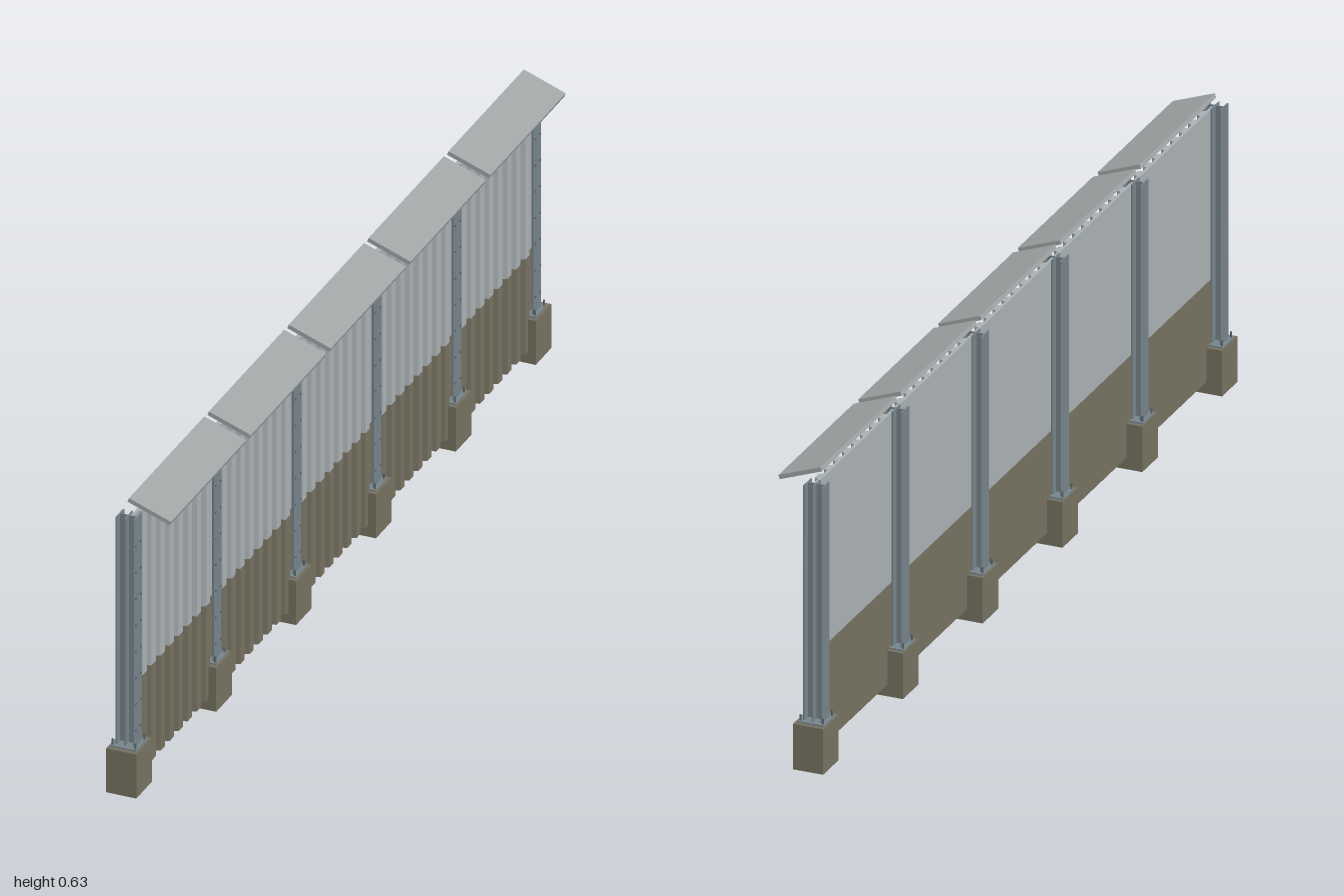
import * as THREE from 'three';

const paint = (name, color) => {
  const m = new THREE.MeshStandardMaterial({ color });
  m.name = name;
  return m;
};

export function createModel() {
  const concrete = paint('concrete', 0x757060);
  const steel = paint('post steel', 0x76838a);
  const sheet = paint('panel sheet', 0xa9b0b3);
  const roofGrey = paint('canopy grey', 0xa0a4a5);
  const boltGrey = paint('bolt steel', 0x59646b);

  const wall = new THREE.Group();
  wall.name = 'noiseBarrier';

  const add = (parent, name, geometry, material, x, y, z) => {
    const mesh = new THREE.Mesh(geometry, material);
    mesh.name = name;
    mesh.position.set(x, y, z);
    parent.add(mesh);
    return mesh;
  };

  const PITCH = 0.385;      // distance between posts
  const POSTS = 6;
  const TOP = 0.6;
  const PLATE = 0.1;        // top of the base plate

  // Shared post geometries
  const footing = new THREE.BoxGeometry(0.064, 0.097, 0.075);
  const plate = new THREE.BoxGeometry(0.056, 0.003, 0.056);
  const flange = new THREE.BoxGeometry(0.003, TOP - PLATE, 0.037);
  const web = new THREE.BoxGeometry(0.038, TOP - PLATE, 0.003);
  const anchor = new THREE.CylinderGeometry(0.0022, 0.0022, 0.012, 8);
  const rivet = new THREE.CylinderGeometry(0.0022, 0.0022, 0.002, 8).rotateZ(Math.PI / 2);

  for (let i = 0; i < POSTS; i++) {
    const post = new THREE.Group();
    post.name = 'post';
    post.position.z = (i - (POSTS - 1) / 2) * PITCH;
    wall.add(post);

    add(post, 'footing', footing, concrete, -0.026, 0.0485, 0);
    add(post, 'basePlate', plate, steel, -0.027, 0.0985, 0);

    // Double beam: three flanges on one web
    const mid = (TOP + PLATE) / 2;
    for (const x of [-0.0455, -0.027, -0.0085]) add(post, 'flange', flange, steel, x, mid, 0);
    add(post, 'web', web, steel, -0.027, mid, 0);

    // Anchor bolts at the corners of the base plate
    for (const x of [-0.051, -0.003])
      for (const z of [-0.022, 0.022]) add(post, 'anchorBolt', anchor, boltGrey, x, 0.106, z);

    // Two columns of rivets on the outer flange
    for (let k = 0; k < 8; k++)
      for (const z of [-0.012, 0.012]) add(post, 'rivet', rivet, boltGrey, -0.006, 0.135 + k * 0.058, z);
  }

  // Ribbed panel: flat back, trapezoid ribs on the outer face, extruded upwards
  const ribbedPanel = (height) => {
    const BACK = -0.025, VALLEY = -0.019, RIDGE = -0.0105;
    const RIBS = 8, end = PITCH / 2 - 0.002, step = 0.348 / RIBS;
    const s = new THREE.Shape();
    s.moveTo(BACK, -end);
    s.lineTo(VALLEY, -end);
    for (let r = 0; r < RIBS; r++) {
      const c = (r - (RIBS - 1) / 2) * step;
      s.lineTo(VALLEY, c - 0.013);
      s.lineTo(RIDGE, c - 0.010);
      s.lineTo(RIDGE, c + 0.010);
      s.lineTo(VALLEY, c + 0.013);
    }
    s.lineTo(VALLEY, end);
    s.lineTo(BACK, end);
    return new THREE.ExtrudeGeometry(s, { depth: height, bevelEnabled: false }).rotateX(-Math.PI / 2);
  };
  const lower = ribbedPanel(0.21);
  const upper = ribbedPanel(0.362);
  const canopy = new THREE.BoxGeometry(0.095, 0.009, 0.363);

  // Bays between the posts, each with a tilted canopy
  for (let i = 0; i < POSTS - 1; i++) {
    const bay = new THREE.Group();
    bay.name = 'bay';
    bay.position.z = (i - (POSTS - 2) / 2) * PITCH;
    wall.add(bay);
    add(bay, 'lowerPanel', lower, concrete, 0, 0.025, 0);
    add(bay, 'upperPanel', upper, sheet, 0, 0.235, 0);
    add(bay, 'canopy', canopy, roofGrey, 0.012, 0.61, 0).rotation.z = -0.355;
  }

  return wall;
}
